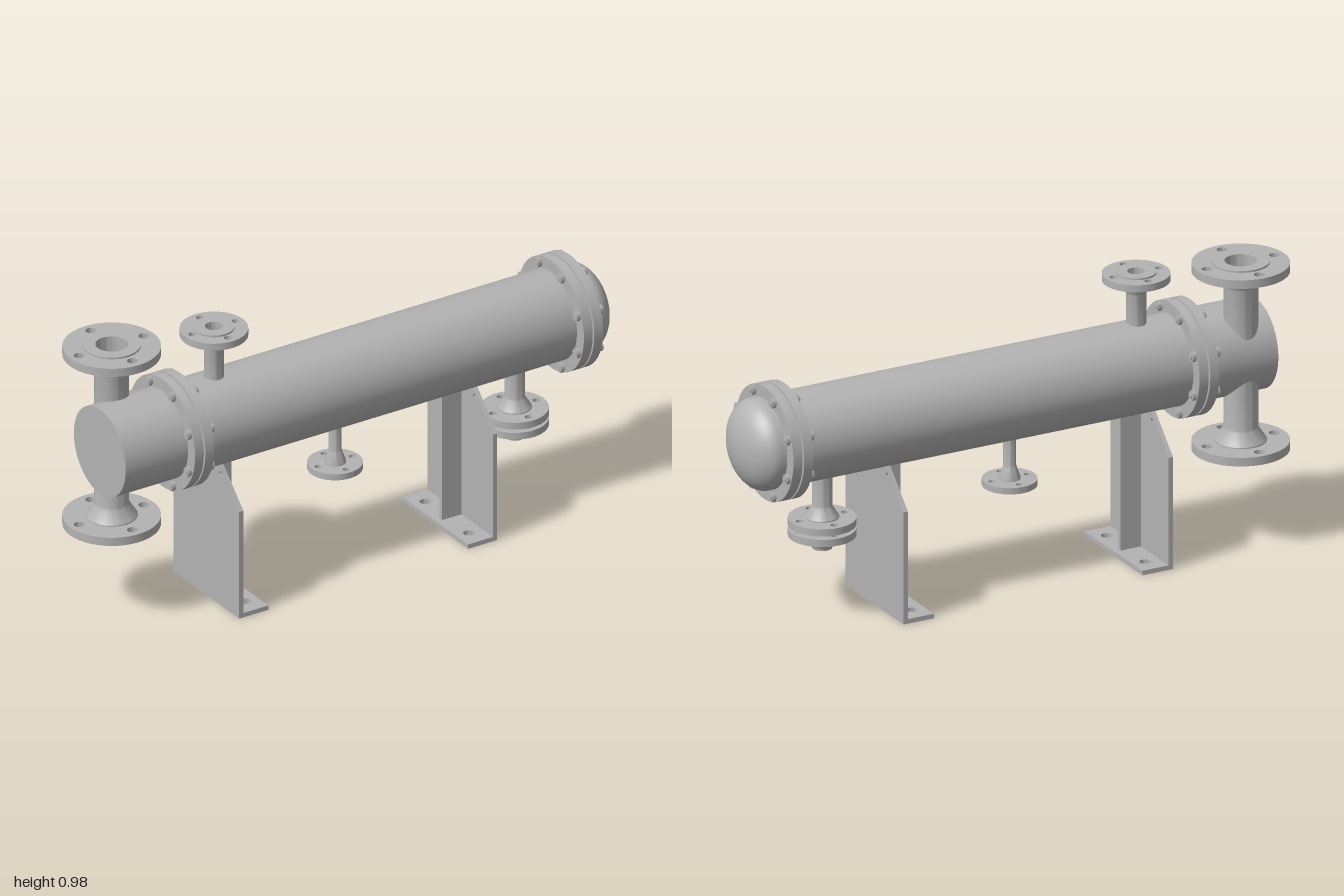
import * as THREE from 'three';
import { toCreasedNormals } from 'three/addons/utils/BufferGeometryUtils.js';

const AXIS_Y = 0.648, AXIS_Z = 0.0215, R = 0.155;

export function createModel() {
  const model = new THREE.Group();
  model.name = 'heatExchanger';
  const steel = new THREE.MeshStandardMaterial({ color: 0xb3b3b3 });
  steel.name = 'steel grey';

  const add = (parent, name, geometry, x = 0, y = 0, z = 0) => {
    const mesh = new THREE.Mesh(geometry, steel);
    mesh.name = name;
    mesh.position.set(x, y, z);
    parent.add(mesh);
    return mesh;
  };
  const lathe = (points, segments = 64) => toCreasedNormals(
    new THREE.LatheGeometry(points.map(([r, y]) => new THREE.Vector2(r, y)), segments), 0.5);
  const circlePath = (x, y, r) => new THREE.Path().absarc(x, y, r, 0, Math.PI * 2, true);
  const extrude = (shape, depth) => toCreasedNormals(
    new THREE.ExtrudeGeometry(shape, { depth, bevelEnabled: false, curveSegments: 32 }), 0.5);

  // Shell, closed at the left end and domed at the right
  const dome = [];
  for (let i = 0; i <= 16; i++) {
    const a = (i / 16) * Math.PI / 2;
    dome.push([R * Math.cos(a), 0.905 + 0.093 * Math.sin(a)]);
  }
  dome[16][0] = 0;
  add(model, 'shell', lathe([[0, -0.937], [R, -0.937], ...dome], 80).rotateZ(-Math.PI / 2), 0, AXIS_Y, AXIS_Z);

  // Bolted body flanges: two rings, a gasket and eight bolts
  function bodyFlange(x) {
    const joint = new THREE.Group();
    joint.name = 'bodyFlange';
    joint.position.set(x, AXIS_Y, AXIS_Z);
    const disc = (name, r, width, cx, sides = 72) => add(joint, name,
      new THREE.CylinderGeometry(r, r, width, sides).rotateZ(-Math.PI / 2), cx);
    disc('flangeRing', 0.197, 0.034, -0.02);
    disc('flangeRing', 0.197, 0.034, 0.02);
    disc('gasket', 0.162, 0.01, 0);
    for (let i = 0; i < 8; i++) {
      const a = (i + 0.5) * Math.PI / 4;
      const parts = [
        disc('boltHead', 0.017, 0.014, -0.044, 6),
        disc('nut', 0.017, 0.014, 0.044, 6),
        disc('stud', 0.009, 0.108, 0.001, 16),
      ];
      for (const p of parts) {
        p.position.y = 0.178 * Math.sin(a);
        p.position.z = 0.178 * Math.cos(a);
      }
    }
    model.add(joint);
  }
  bodyFlange(-0.658);
  bodyFlange(0.851);

  // Flanged nozzle with its sealing face at y and its pipe running away from it
  function nozzle(name, x, y, z, up, s) {
    const g = new THREE.Group();
    g.name = name;
    g.position.set(x, y, z);
    if (!up) g.rotation.x = Math.PI;
    const raise = 0.006, back = raise + s.thick;
    const shape = new THREE.Shape().absarc(0, 0, s.r, 0, Math.PI * 2, false);
    shape.holes.push(circlePath(0, 0, s.face));
    for (let i = 0; i < 4; i++) {
      const a = i * Math.PI / 2;
      shape.holes.push(circlePath(s.boltCircle * Math.cos(a), s.boltCircle * Math.sin(a), s.hole));
    }
    add(g, 'nozzleFlange', extrude(shape, s.thick).rotateX(-Math.PI / 2), 0, -back, 0);
    add(g, 'neck', lathe([
      [s.bore, -s.length], [s.pipe, -s.length], [s.pipe, -s.hubEnd - 0.008],
      [s.pipe + 0.002, -s.hubEnd], [s.hub, -back - 0.004], [s.hub, -back],
      [s.face, -back], [s.face, 0], [s.bore, 0], [s.bore, -s.length],
    ], 48));
    model.add(g);
  }
  const large = { r: 0.161, thick: 0.03, face: 0.095, boltCircle: 0.125, hole: 0.018,
    bore: 0.053, pipe: 0.057, hub: 0.085, hubEnd: 0.08, length: 0.3 };
  const medium = { r: 0.112, thick: 0.025, face: 0.067, boltCircle: 0.084, hole: 0.013,
    bore: 0.029, pipe: 0.033, hub: 0.056, hubEnd: 0.068, length: 0.19 };
  const small = { r: 0.091, thick: 0.022, face: 0.05, boltCircle: 0.066, hole: 0.011,
    bore: 0.017, pipe: 0.021, hub: 0.036, hubEnd: 0.068, length: 0.19 };
  nozzle('channelInlet', -0.839, 0.981, -0.058, true, large);
  nozzle('channelOutlet', -0.839, 0.316, -0.058, false, large);
  nozzle('shellInlet', -0.494, 0.983, AXIS_Z, true, medium);
  nozzle('drain', -0.024, 0.32, AXIS_Z, false, small);
  nozzle('shellOutlet', 0.673, 0.3165, AXIS_Z, false, medium);
  nozzle('companionFlange', 0.673, 0.3165, AXIS_Z, true, { ...medium, hubEnd: 0.067, length: 0.077 });

  // Saddle supports: upright plate cut to the shell, central web and slotted foot
  function saddle(x, turn) {
    const g = new THREE.Group();
    g.name = 'saddleSupport';
    g.position.set(x, 0, AXIS_Z);
    g.rotation.y = turn;
    const half = 0.196, t = 0.016, a = Math.atan2(0.513 - AXIS_Y, 0.077);
    const plate = new THREE.Shape();
    plate.moveTo(-half, 0);
    plate.lineTo(half, 0);
    plate.lineTo(half, 0.393);
    plate.lineTo(0.077, 0.513);
    plate.absarc(0, AXIS_Y, R, a, -Math.PI - a, true);
    plate.lineTo(-half, 0.393);
    for (const s of [-1, 1]) plate.holes.push(circlePath(s * 0.085, 0.485, 0.008));
    add(g, 'saddlePlate', extrude(plate, t).rotateY(-Math.PI / 2), t);

    const foot = new THREE.Shape();
    foot.moveTo(t, -half);
    foot.lineTo(0.113, -half);
    foot.lineTo(0.113, half);
    foot.lineTo(t, half);
    for (const s of [-1, 1]) foot.holes.push(circlePath(0.067, s * 0.13, 0.019));
    add(g, 'foot', extrude(foot, t).rotateX(-Math.PI / 2));

    add(g, 'web', new THREE.BoxGeometry(0.076, 0.49, t), t + 0.038, t + 0.245);
    model.add(g);
  }
  saddle(-0.523, 0);
  saddle(0.478, Math.PI);

  return model;
}
